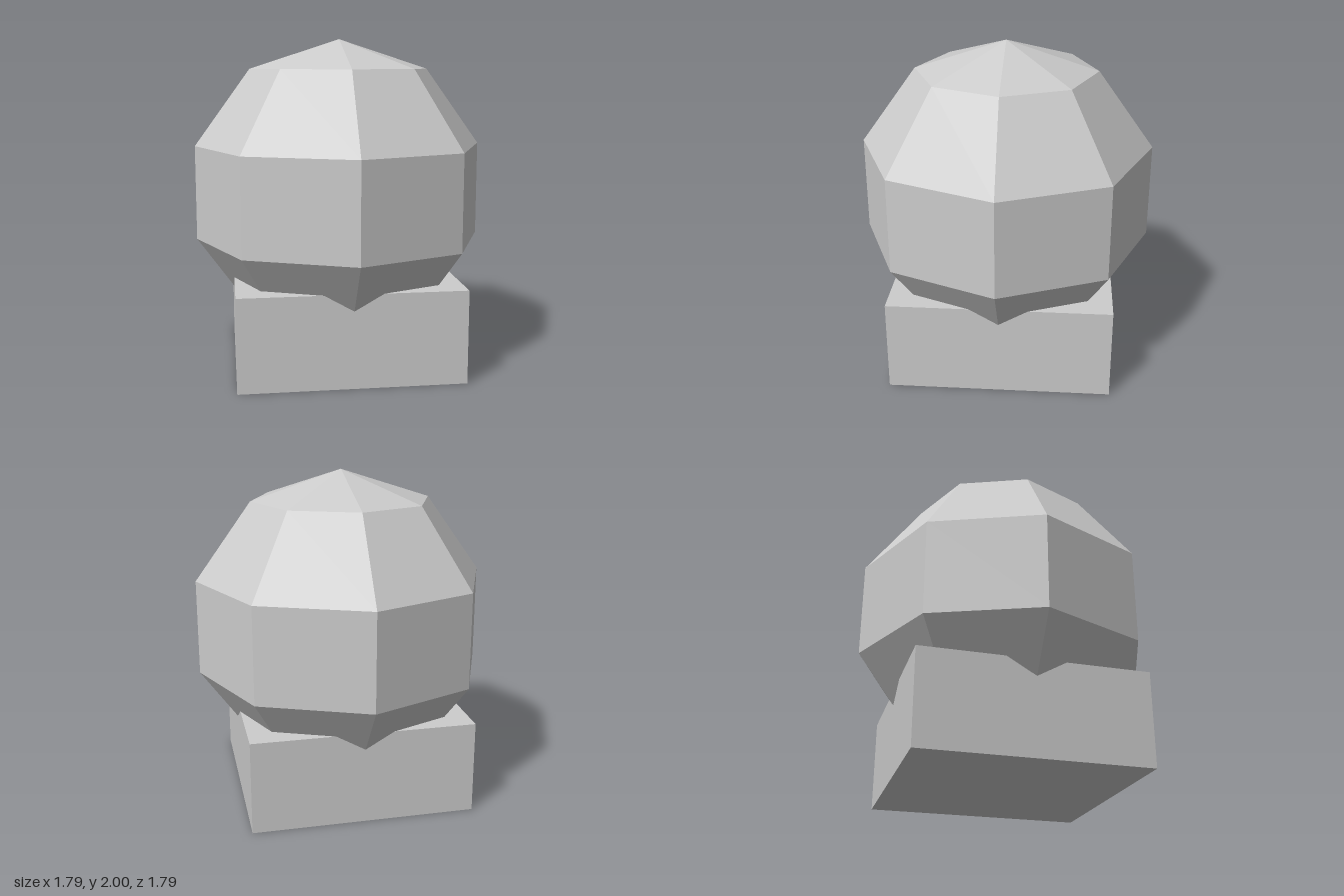
import * as THREE from 'three';

export function createModel() {
  const model = new THREE.Group();
  const stone = new THREE.MeshStandardMaterial({ color: 0xcccccc });
  stone.name = 'light grey stone';

  const addPart = (name, geometry, y) => {
    // Split shared vertices so every facet is flat
    const flat = geometry.toNonIndexed();
    flat.computeVertexNormals();
    const mesh = new THREE.Mesh(flat, stone);
    mesh.name = name;
    mesh.position.y = y;
    model.add(mesh);
  };

  // Square plinth
  const baseHeight = 0.56;
  addPart('base', new THREE.BoxGeometry(1.34, baseHeight, 1.34), baseHeight / 2);

  // Faceted ball sunk into the plinth, corners on the x and z axes
  const radius = 0.94;
  addPart('ball', new THREE.SphereGeometry(radius, 8, 5), 2 - radius);

  return model;
}
